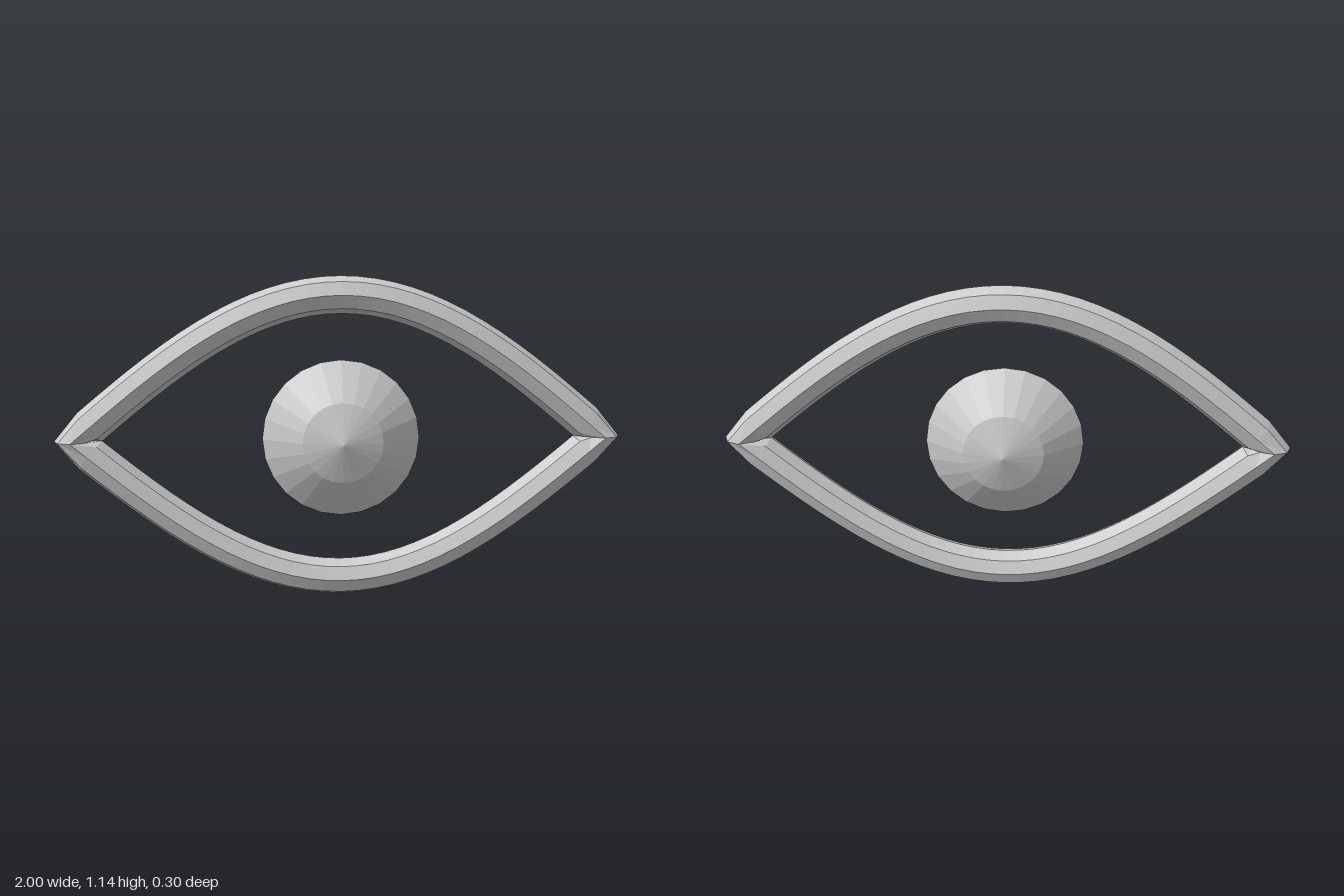
import * as THREE from 'three';

const CENTER_Y = 0.573;
const HALF_WIDTH = 0.935, HALF_HEIGHT = 0.504; // centre line of the lids
const TUBE = 0.065, SIDES = 8, STEPS = 32;

// Octagonal tube swept round the almond outline, pinched at both corners
function lidGeometry() {
  const rings = [];
  for (const s of [1, -1]) {
    for (let i = 0; i < STEPS; i++) {
      const x = s * HALF_WIDTH * (-1 + (2 * i) / STEPS);
      const k = Math.PI / 2 / HALF_WIDTH;
      const y = s * HALF_HEIGHT * Math.cos(k * x);
      const slope = -s * HALF_HEIGHT * k * Math.sin(k * x);
      // Outward direction in the outline plane; horizontal at the corners
      const out = i === 0
        ? new THREE.Vector2(-s, 0)
        : new THREE.Vector2(-slope * s, s).normalize();
      rings.push({ x, y, out });
    }
  }
  const positions = [], index = [];
  rings.forEach(({ x, y, out }, i) => {
    const next = (i + 1) % rings.length;
    for (let j = 0; j < SIDES; j++) {
      const a = (j / SIDES) * Math.PI * 2;
      const c = Math.cos(a) * TUBE;
      positions.push(x + out.x * c, y + out.y * c, Math.sin(a) * TUBE);
      const j2 = (j + 1) % SIDES;
      const p = i * SIDES + j, q = i * SIDES + j2;
      const r = next * SIDES + j, t = next * SIDES + j2;
      index.push(p, q, r, q, t, r);
    }
  });
  const geometry = new THREE.BufferGeometry();
  geometry.setAttribute('position', new THREE.Float32BufferAttribute(positions, 3));
  geometry.setIndex(index);
  const flat = geometry.toNonIndexed();
  flat.computeVertexNormals();
  return flat;
}

export function createModel() {
  const group = new THREE.Group();
  group.name = 'eye';
  const grey = new THREE.MeshStandardMaterial({ color: 0xcccccc, flatShading: true });
  grey.name = 'light grey';

  // Eyelid outline
  const lids = new THREE.Mesh(lidGeometry(), grey);
  lids.name = 'eyelids';
  lids.position.y = CENTER_Y;
  group.add(lids);

  // Faceted iris, a double cone with a bevel, facing front and back
  const profile = [[0, -0.148], [0.14, -0.106], [0.278, 0], [0.14, 0.106], [0, 0.148]]
    .map(([r, h]) => new THREE.Vector2(r, h));
  const iris = new THREE.Mesh(new THREE.LatheGeometry(profile, 24), grey);
  iris.name = 'iris';
  iris.rotation.x = Math.PI / 2;
  iris.position.y = CENTER_Y;
  group.add(iris);

  return group;
}
